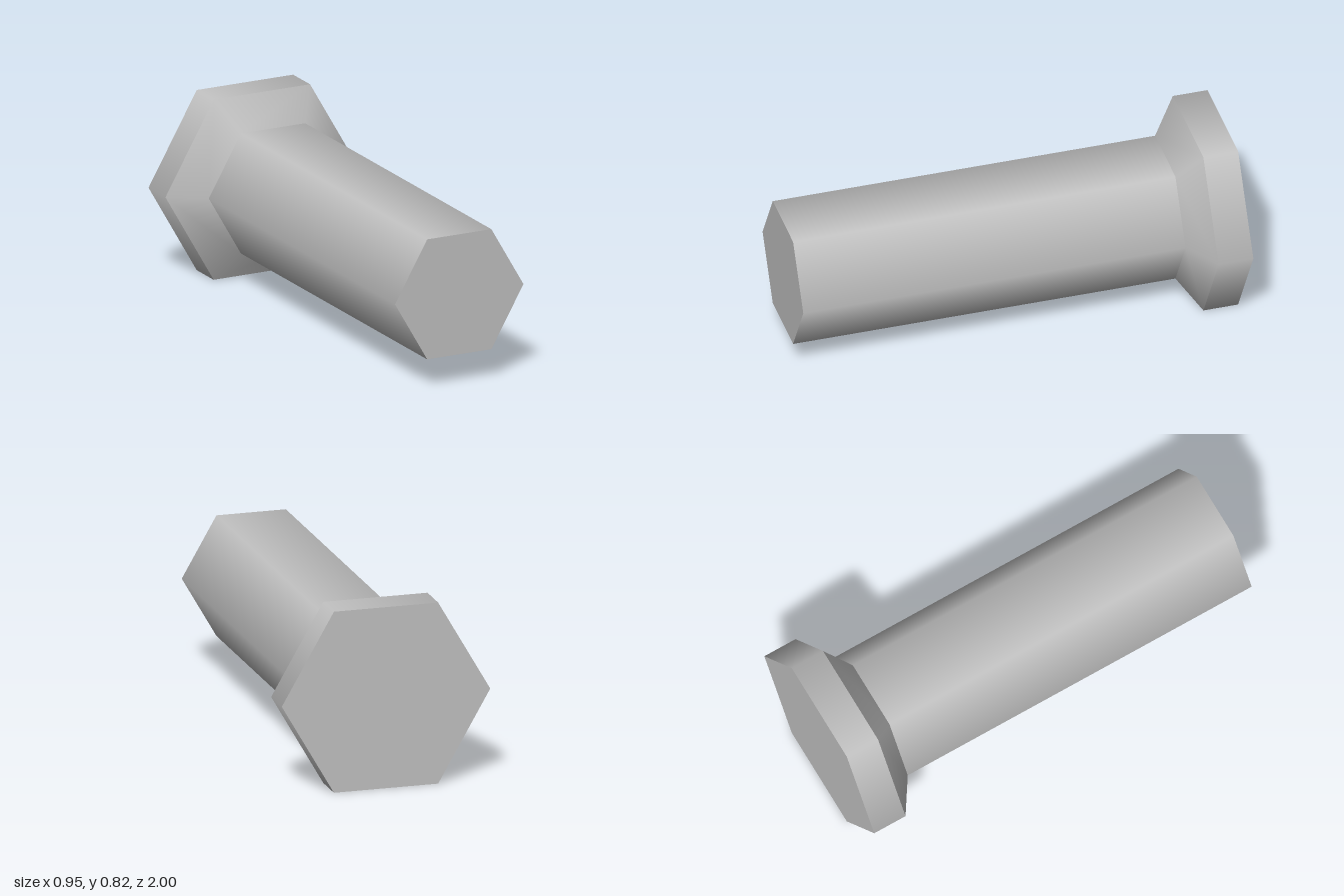
import * as THREE from 'three';

const SHAFT_R = 0.317, HEAD_R = 0.476, CENTRE_Y = HEAD_R * Math.cos(Math.PI / 6);

export function createModel() {
  const model = new THREE.Group();
  model.name = 'hexBolt';
  const steel = new THREE.MeshStandardMaterial({ name: 'greySteel', color: 0xc0c0c0 });

  const add = (name, geometry, z) => {
    const mesh = new THREE.Mesh(geometry, steel);
    mesh.name = name;
    mesh.position.set(0, CENTRE_Y, z);
    model.add(mesh);
    return mesh;
  };

  // Smooth-shaded six-sided wall along z, with corners on the x axis
  const wall = (name, frontR, backR, zBack, zFront) => {
    const geometry = new THREE.CylinderGeometry(frontR, backR, zFront - zBack, 6, 1, true, Math.PI / 6);
    add(name, geometry.rotateX(Math.PI / 2), (zFront + zBack) / 2);
  };

  wall('shaft', SHAFT_R, SHAFT_R, -0.738, 1);
  wall('headTaper', SHAFT_R, HEAD_R, -0.842, -0.738);
  wall('headRim', HEAD_R, HEAD_R, -1, -0.842);

  // Flat end faces
  add('shaftEnd', new THREE.CircleGeometry(SHAFT_R, 6), 1);
  add('headEnd', new THREE.CircleGeometry(HEAD_R, 6), -1).rotation.y = Math.PI;

  return model;
}
